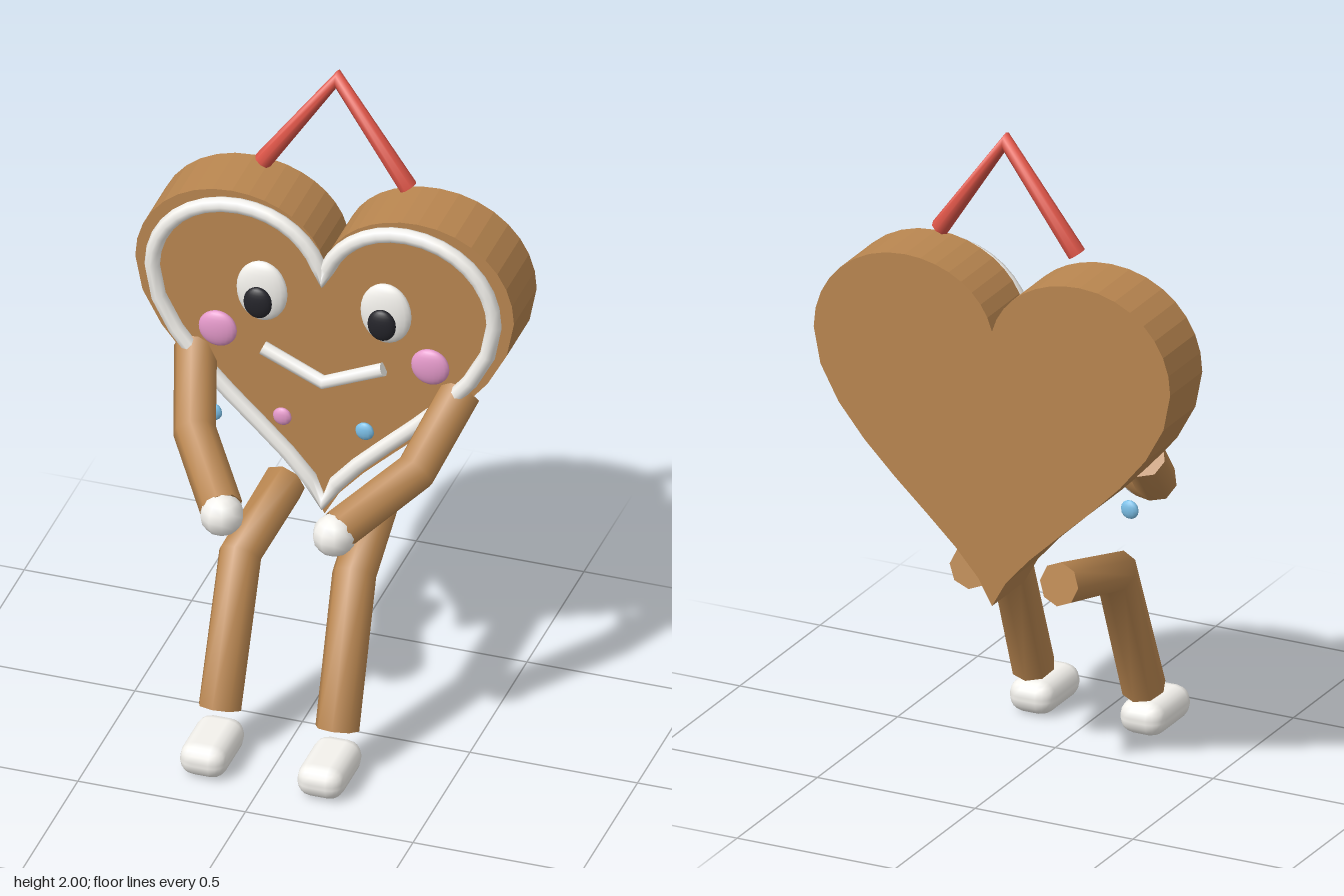
import * as THREE from 'three';
import { RoundedBoxGeometry } from 'three/addons/geometries/RoundedBoxGeometry.js';

const paint = (color) => new THREE.MeshStandardMaterial({ color });
const biscuit = paint(0xb98650);
const white = paint(0xf3f1ec);
const black = paint(0x24242a);
const pink = paint(0xe59acb);
const blue = paint(0x7cc0e8);
const red = paint(0xdd5548);

// Heart outline from half-width and the heights of tip, widest point, lobe top and notch
function heart(w, tip, mid, top, notch) {
  const h = mid - tip, lobe = w * 0.49, s = new THREE.Shape();
  s.moveTo(0, tip);
  s.bezierCurveTo(w * 0.12, tip + h * 0.27, w, tip + h * 0.6, w, mid);
  s.bezierCurveTo(w, mid + (top - mid) * 0.58, w * 0.77, top, lobe, top);
  s.bezierCurveTo(w * 0.25, top, w * 0.05, notch + (top - notch) * 0.6, 0, notch);
  s.bezierCurveTo(-w * 0.05, notch + (top - notch) * 0.6, -w * 0.25, top, -lobe, top);
  s.bezierCurveTo(-w * 0.77, top, -w, mid + (top - mid) * 0.58, -w, mid);
  s.bezierCurveTo(-w, tip + h * 0.6, -w * 0.12, tip + h * 0.27, 0, tip);
  return s;
}

// Curve whose rings fall exactly on the given points
function path(points, closed = false) {
  const c = new THREE.CatmullRomCurve3(points, closed);
  c.getPointAt = (u, t) => c.getPoint(u, t);
  c.getTangentAt = (u, t) => c.getTangent(u, t);
  return c;
}

export function createModel() {
  const model = new THREE.Group();

  function add(name, geometry, material, parent = model) {
    const mesh = new THREE.Mesh(geometry, material);
    mesh.name = name;
    parent.add(mesh);
    return mesh;
  }

  function ellipsoid(name, material, pos, radii, w = 20, h = 14) {
    const mesh = add(name, new THREE.SphereGeometry(1, w, h), material);
    mesh.position.set(...pos);
    mesh.scale.set(...radii);
  }

  // Bent rod with straight sections and flat end caps
  function rod(name, points, radius, material, sides = 8) {
    const group = new THREE.Group();
    group.name = name;
    model.add(group);
    const pts = points.map((p) => new THREE.Vector3(...p));
    const curve = path(pts), n = pts.length - 1;
    const tube = new THREE.TubeGeometry(curve, n, radius, sides);
    add(name + 'Tube', tube, material, group);
    const pos = tube.attributes.position;
    [0, n].forEach((ring) => {
      const v = [pts[ring]];
      for (let j = 0; j <= sides; j++) {
        v.push(new THREE.Vector3().fromBufferAttribute(pos, ring * (sides + 1) + j));
      }
      const out = pts[ring].clone().sub(pts[ring ? n - 1 : 1]);
      const turn = v[1].clone().sub(v[0]).cross(v[2].clone().sub(v[0])).dot(out) > 0;
      const index = [];
      for (let j = 1; j <= sides; j++) index.push(0, turn ? j : j + 1, turn ? j + 1 : j);
      const cap = new THREE.BufferGeometry().setFromPoints(v);
      cap.setIndex(index);
      cap.computeVertexNormals();
      add(name + 'Cap', cap, material, group);
    });
  }

  // Heart-shaped body
  const body = new THREE.ExtrudeGeometry(heart(0.565, 0.58, 1.33, 1.605, 1.42),
    { depth: 0.2, bevelEnabled: false, curveSegments: 8 });
  body.translate(0, 0, -0.395);
  add('heartBody', body, biscuit);

  // Icing piped around the front
  const line = heart(0.51, 0.625, 1.32, 1.568, 1.37).getPoints(8)
    .map((p) => new THREE.Vector3(p.x, p.y, -0.182));
  if (line[0].distanceTo(line[line.length - 1]) < 1e-6) line.pop();
  add('icingBorder', new THREE.TubeGeometry(path(line, true), line.length, 0.023, 8, true), white);

  // Mouth and hanging loop
  rod('mouth', [[-0.18, 1.108, -0.182], [0, 1.028, -0.182], [0.18, 1.108, -0.182]], 0.021, white);
  rod('hangingLoop', [[-0.217, 1.66, -0.292], [0, 1.97, -0.308], [0.217, 1.66, -0.292]], 0.027, red);

  for (const [side, s] of [['left', 1], ['right', -1]]) {
    // Face
    ellipsoid(side + 'Eye', white, [s * 0.185, 1.293, -0.19], [0.076, 0.097, 0.028]);
    ellipsoid(side + 'Pupil', black, [s * 0.185, 1.275, -0.152], [0.042, 0.05, 0.02]);
    ellipsoid(side + 'Cheek', pink, [s * 0.317, 1.14, -0.19], [0.057, 0.057, 0.022]);

    // Sugar buttons
    ellipsoid(side + 'InnerButton', s > 0 ? blue : pink, [s * 0.123, 0.887, -0.185], [0.028, 0.028, 0.013], 12, 8);
    ellipsoid(side + 'OuterButton', s > 0 ? pink : blue, [s * 0.33, 0.86, -0.185], [0.028, 0.028, 0.013], 12, 8);

    // Arm and hand
    rod(side + 'Arm', [[s * 0.395, 1.05, -0.225], [s * 0.33, 0.892, -0.025], [s * 0.175, 0.797, 0.195]], 0.062, biscuit);
    ellipsoid(side + 'Hand', white, [s * 0.168, 0.79, 0.213], [0.063, 0.063, 0.063], 10, 8);

    // Leg and foot
    rod(side + 'Leg', [[s * 0.14, 0.62, -0.252], [s * 0.17, 0.555, 0.045], [s * 0.175, 0.14, 0.208]], 0.064, biscuit);
    const foot = add(side + 'Foot', new RoundedBoxGeometry(0.14, 0.1, 0.226, 2, 0.045), white);
    foot.position.set(s * 0.175, 0.05, 0.278);
  }

  return model;
}
